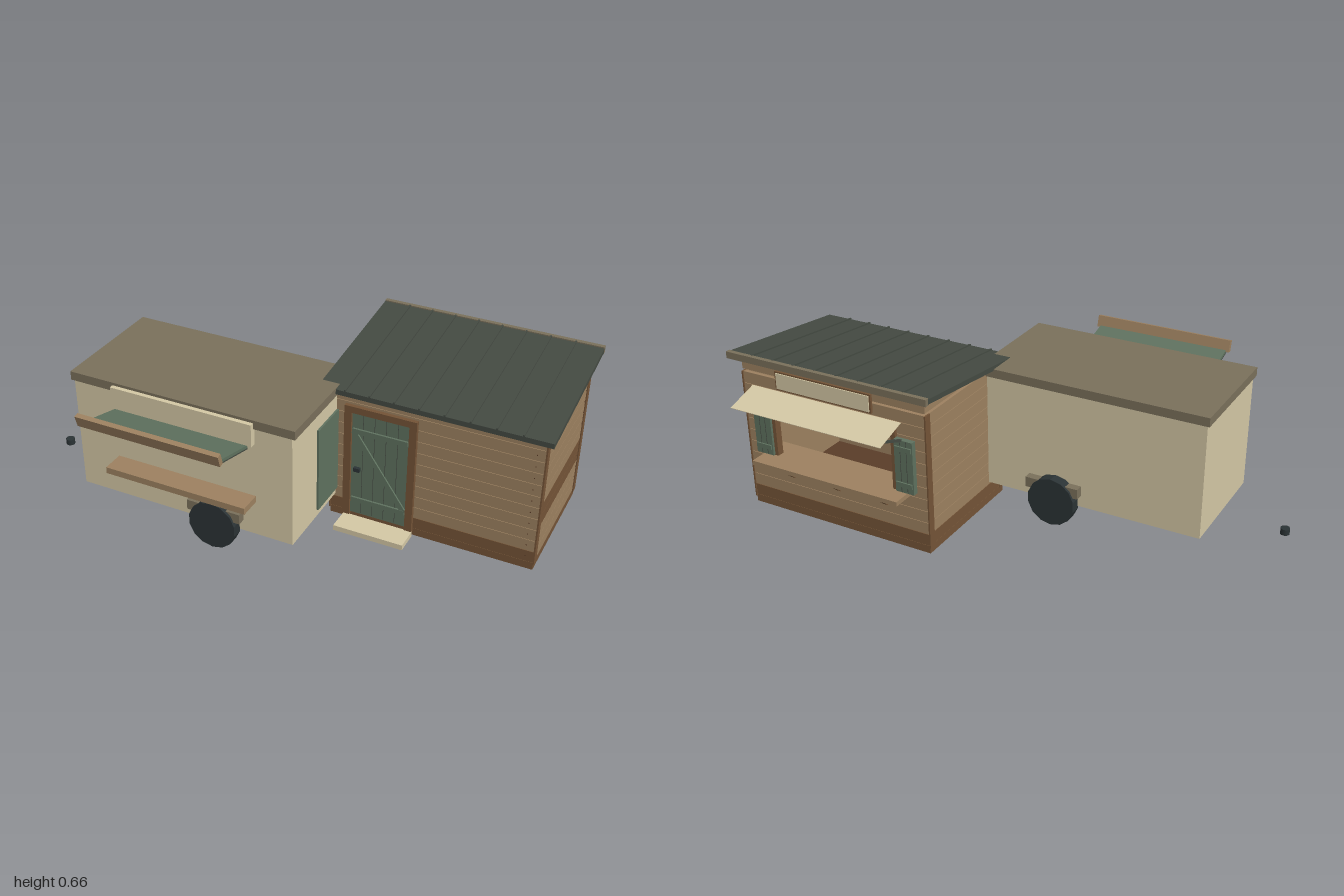
import * as THREE from 'three';

const mat = (name, color) => {
  const m = new THREE.MeshStandardMaterial({ color });
  m.name = name;
  return m;
};

export function createModel() {
  const model = new THREE.Group();
  const cream = mat('cream paint', 0xd4c8a5);
  const wood = mat('light timber', 0x9d8160);
  const brown = mat('brown timber', 0x745437);
  const darkWood = mat('dark timber', 0x5a3d29);
  const green = mat('green paint', 0x5f725f);
  const taupe = mat('taupe trim', 0x7a705b);
  const metal = mat('roof metal', 0x444a42);
  const black = mat('black rubber', 0x2b3335);

  let parent = model;
  const group = (name) => {
    parent = new THREE.Group();
    parent.name = name;
    model.add(parent);
  };
  const add = (name, geo, m) => {
    const mesh = new THREE.Mesh(geo, m);
    mesh.name = name;
    parent.add(mesh);
    return mesh;
  };
  // Box given by its limits on each axis
  const box = (name, m, x0, x1, y0, y1, z0, z1) => {
    const mesh = add(name, new THREE.BoxGeometry(x1 - x0, y1 - y0, z1 - z0), m);
    mesh.position.set((x0 + x1) / 2, (y0 + y1) / 2, (z0 + z1) / 2);
    return mesh;
  };
  // Profile of [z, y] points extended along x
  const prism = (name, m, pts, x0, x1) => {
    const shape = new THREE.Shape(pts.map(([z, y]) => new THREE.Vector2(z, y)));
    const geo = new THREE.ExtrudeGeometry(shape, { depth: x1 - x0, bevelEnabled: false });
    geo.rotateY(-Math.PI / 2).translate(x1, 0, 0);
    return add(name, geo, m);
  };
  // Flat bar between two [z, y] points, t thick (upwards)
  const slab = (name, m, [za, ya], [zb, yb], t, x0, x1) =>
    prism(name, m, [[za, ya], [zb, yb], [zb, yb + t], [za, ya + t]], x0, x1);

  // ---- Trailer ----
  group('trailer');
  box('trailerBody', cream, -0.735, 0.17, 0.095, 0.556, -0.06, 0.412);
  box('trailerRoof', taupe, -0.745, 0.185, 0.556, 0.591, -0.07, 0.42);
  box('trailerEndDoor', green, 0.17, 0.178, 0.125, 0.476, 0.03, 0.215);
  box('trailerCounter', wood, -0.565, 0.022, 0.24, 0.266, 0.412, 0.5);
  box('trailerHeaderBoard', cream, -0.56, 0.022, 0.49, 0.58, 0.412, 0.437);
  slab('hatchTop', green, [0.43, 0.478], [0.635, 0.532], 0.012, -0.547, 0.003);
  slab('hatchUnderside', metal, [0.43, 0.473], [0.635, 0.527], 0.005, -0.547, 0.003);
  prism('hatchEdgeBar', wood, [[0.624, 0.535], [0.643, 0.531], [0.656, 0.576], [0.637, 0.581]], -0.56, 0.017);
  for (const s of [1, -1]) {
    const z = (d) => 0.176 + s * d;
    const tyre = new THREE.CylinderGeometry(0.098, 0.098, 0.045, 14).rotateX(Math.PI / 2).toNonIndexed();
    tyre.computeVertexNormals();
    add('wheel', tyre, black).position.set(-0.145, 0.106, z(0.256));
    const zs = [z(0.236), z(0.269)].sort((a, b) => a - b);
    box('wheelGuard', taupe, -0.253, -0.032, 0.142, 0.183, zs[0], zs[1]);
  }
  const hitch = add('hitchBall', new THREE.CylinderGeometry(0.018, 0.018, 0.024, 12), black);
  hitch.position.set(-0.982, 0.075, 0.176);

  // ---- Cabin walls ----
  group('cabin');
  const X0 = 0.15, X1 = 0.965, Z0 = -0.49, Z1 = 0.048;
  const ROWS = 11, Y0 = 0.035, Y1 = 0.57, H = (Y1 - Y0) / ROWS;
  box('floor', darkWood, X0 + 0.004, X1 - 0.004, 0.002, 0.034, Z0 + 0.004, Z1 - 0.004);
  box('sillFront', brown, X0, X1, 0.004, Y0, Z1 - 0.012, Z1);
  box('sillBack', brown, X0, X1, 0.004, Y0, Z0, Z0 + 0.012);
  box('sillLeft', brown, X1 - 0.012, X1, 0.004, Y0, Z0 + 0.012, Z1 - 0.012);
  box('sillRight', brown, X0, X0 + 0.012, 0.004, Y0, Z0 + 0.012, Z1 - 0.012);

  // Backing boards behind the planks, open at the serving window
  const WX0 = 0.285, WX1 = 0.83, WY0 = Y0 + 4 * H, WY1 = Y0 + 9 * H;
  box('frontBacking', wood, X0 + 0.006, X1 - 0.006, Y0, Y1 - 0.002, Z1 - 0.016, Z1 - 0.005);
  for (const x of [X0 + 0.005, X1 - 0.016])
    box('sideBacking', wood, x, x + 0.011, Y0, Y1 - 0.002, Z0 + 0.006, Z1 - 0.006);
  for (const [a, b, c, d] of [[X0 + 0.006, WX0, Y0, Y1 - 0.002], [WX1, X1 - 0.006, Y0, Y1 - 0.002],
    [WX0, WX1, Y0, WY0], [WX0, WX1, WY1, Y1 - 0.002]])
    box('backBacking', wood, a, b, c, d, Z0 + 0.005, Z0 + 0.016);

  // Horizontal planks
  for (let i = 0; i < ROWS; i++) {
    const a = Y0 + i * H + 0.001, b = Y0 + (i + 1) * H - 0.001, mid = (a + b) / 2;
    const m = i === 0 ? brown : wood;
    box('frontPlank', m, X0, X1, a, b, Z1 - 0.006, Z1);
    const spans = i >= 4 && i < 9 ? [[X0, WX0], [WX1, X1]] : [[X0, X1]];
    for (const [p, q] of spans) box('backPlank', m, p, q, a, b, Z0, Z0 + 0.006);
    box('leftPlank', i === 3 || i === 4 ? brown : wood, X1 - 0.006, X1, a, b, Z0 + 0.006, Z1 - 0.006);
    box('rightPlank', m, X0, X0 + 0.006, a, b, Z0 + 0.006, Z1 - 0.006);
    // Nail heads
    for (const z of [0.016, -0.457])
      box('nail', darkWood, X1, X1 + 0.001, mid - 0.002, mid + 0.002, z - 0.002, z + 0.002);
    box('nail', darkWood, 0.93, 0.934, mid - 0.002, mid + 0.002, Z1, Z1 + 0.001);
  }
  // Corner boards
  for (const x of [X0 - 0.004, X1 - 0.002])
    for (const z of [Z0 - 0.004, Z1 - 0.027])
      box('cornerBoard', brown, x, x + 0.006, 0.028, Y1, z, z + 0.031);

  // Gables and frieze with an air gap above the walls
  for (const x of [X0, X1 - 0.015])
    prism('gable', wood, [[0.03, 0.58], [Z0, 0.58], [Z0, 0.634], [0.03, 0.581]], x, x + 0.015);
  box('backFrieze', wood, X0 + 0.015, X1 - 0.015, 0.58, 0.633, Z0, Z0 + 0.015);

  // ---- Cabin roof ----
  group('cabinRoof');
  slab('roofSheet', metal, [0.094, 0.567], [-0.518, 0.635], 0.02, 0.115, 0.997);
  box('backFascia', taupe, 0.115, 0.997, 0.632, 0.659, -0.534, -0.516);
  for (let i = 1; i < 9; i++) {
    const x = 0.122 + i * 0.0955;
    slab('roofSeam', metal, [0.094, 0.586], [-0.518, 0.654], 0.007, x, x + 0.006);
  }

  // ---- Front door ----
  group('door');
  box('doorLeaf', green, 0.235, 0.465, 0.035, 0.487, Z1, 0.054);
  box('frameSide', brown, 0.207, 0.236, 0.02, 0.512, Z1, 0.064);
  box('frameSide', brown, 0.464, 0.493, 0.02, 0.512, Z1, 0.064);
  box('frameTop', brown, 0.236, 0.464, 0.485, 0.512, Z1, 0.064);
  for (let i = 1; i < 5; i++)
    box('doorSeam', metal, 0.235 + i * 0.046 - 0.001, 0.235 + i * 0.046 + 0.001, 0.04, 0.483, 0.053, 0.0545);
  for (const y of [0.09, 0.398]) box('doorRail', green, 0.24, 0.46, y, y + 0.02, 0.054, 0.062);
  const brace = box('doorBrace', green, -0.185, 0.185, -0.01, 0.01, 0.054, 0.061);
  brace.position.set(0.35, 0.254, 0.0575);
  brace.rotation.z = -0.96;
  box('doorHandle', black, 0.25, 0.275, 0.232, 0.248, 0.054, 0.068);
  box('doorStep', cream, 0.212, 0.495, 0.004, 0.026, 0.06, 0.155);

  // ---- Serving window at the back ----
  group('servingWindow');
  for (const x of [WX0 - 0.012, WX1 - 0.008])
    box('windowJamb', brown, x, x + 0.02, 0.245, 0.495, -0.503, -0.474);
  box('windowHead', brown, WX0, WX1, 0.472, 0.495, -0.503, -0.474);
  box('servingCounter', wood, 0.227, 0.885, 0.23, 0.248, -0.581, -0.4);
  for (const x of [0.34, 0.555, 0.77])
    prism('counterBracket', brown, [[-0.49, 0.16], [-0.49, 0.18], [-0.55, 0.23], [-0.568, 0.23]], x - 0.009, x + 0.009);
  for (const x of [0.195, 0.837]) {
    box('shutter', green, x, x + 0.078, 0.25, 0.462, -0.513, -0.492);
    for (const y of [0.275, 0.42]) box('shutterRail', green, x + 0.005, x + 0.073, y, y + 0.018, -0.519, -0.513);
    for (const k of [1, 2]) box('shutterSeam', metal, x + k * 0.026 - 0.001, x + k * 0.026 + 0.001, 0.252, 0.46, -0.514, -0.512);
  }
  // Awning with its props
  slab('awning', cream, [-0.53, 0.543], [-0.66, 0.503], 0.002, 0.225, 0.887);
  for (const x of [0.24, 0.864])
    slab('awningProp', metal, [-0.508, 0.455], [-0.628, 0.503], 0.01, x, x + 0.009);
  // Blank board over the window
  box('headerBoardFrame', brown, 0.343, 0.768, 0.556, 0.63, -0.54, -0.53);
  box('headerBoardFace', cream, 0.35, 0.761, 0.562, 0.624, -0.544, -0.54);

  return model;
}
